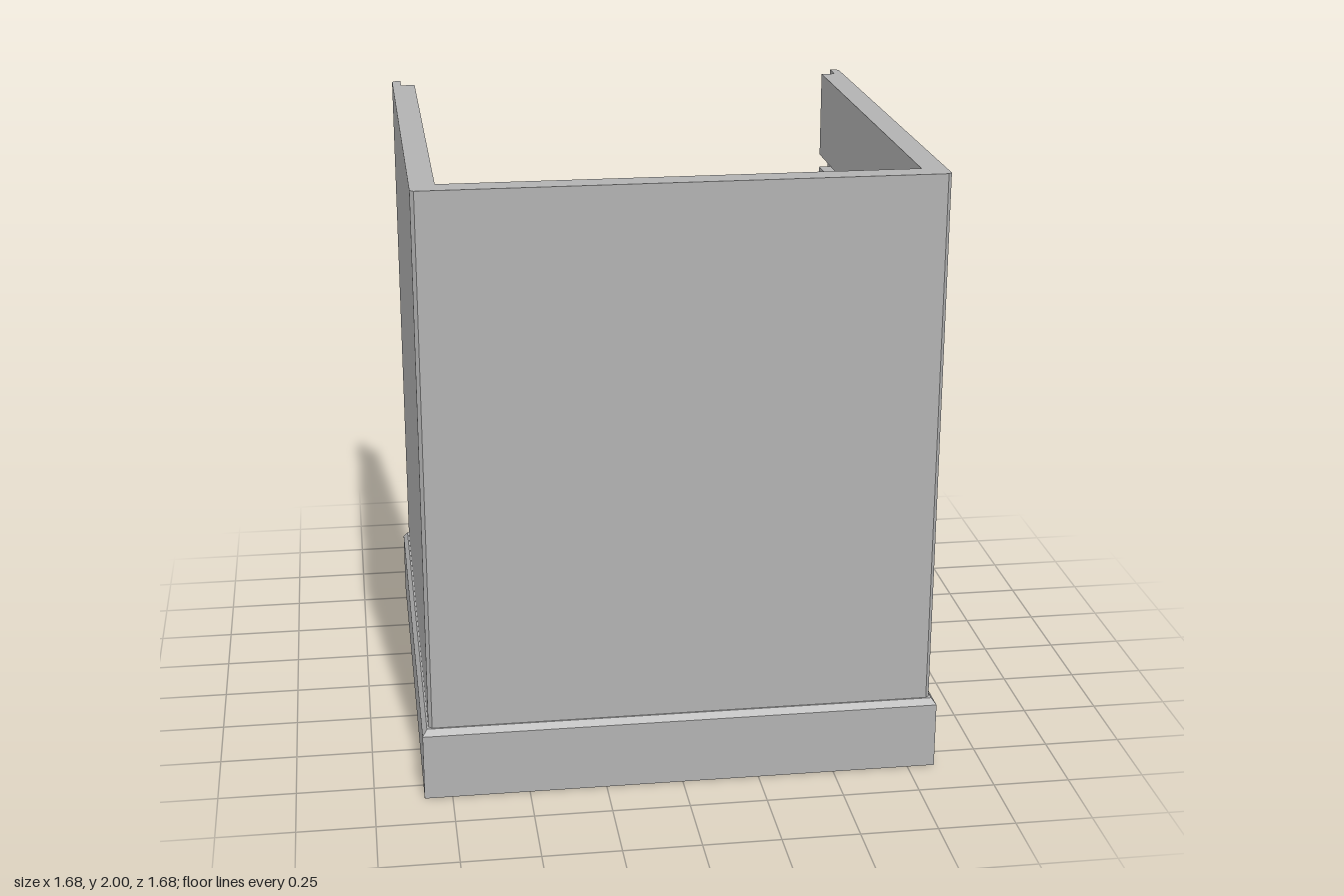
import * as THREE from 'three';

export function createModel() {
  const group = new THREE.Group();
  const grey = new THREE.MeshStandardMaterial({ color: 0xb2b2b2 });

  function add(name, geometry) {
    const mesh = new THREE.Mesh(geometry, grey);
    mesh.name = name;
    group.add(mesh);
    return mesh;
  }

  // Extrudes a plan outline of [x, z] points upward from y0 to y1
  function slab(points, y0, y1, holeRadius) {
    const shape = new THREE.Shape(points.map(([x, z]) => new THREE.Vector2(x, -z)));
    if (holeRadius) {
      const hole = new THREE.Path();
      hole.absarc(0, 0, holeRadius, 0, Math.PI * 2, true);
      shape.holes.push(hole);
    }
    const geo = new THREE.ExtrudeGeometry(shape, { depth: y1 - y0, bevelEnabled: false, curveSegments: 48 });
    geo.rotateX(-Math.PI / 2);
    geo.translate(0, y0, 0);
    return geo;
  }

  const B = 0.84;      // base half width
  const W = 0.82;      // wall outer half width
  const S = 0.79;      // inner side of the thin outer skin
  const I = 0.742;     // inner half width of the chamber
  const shelf = 0.22, floor = 0.24, top = 2;

  // Base plate with the round opening
  add('base', slab([[-B, -B], [-B, B], [B, B], [B, -B]], 0, shelf, 0.54));

  // Floor layer: counterbored opening, open seat for the rear panel, sloped rim
  const T = 0.825;
  const floorGeo = slab([
    [-T, -T], [-T, T], [T, T], [T, -T], [S, -T], [S, -I], [-S, -I], [-S, -T],
  ], shelf, floor, 0.585);
  const p = floorGeo.attributes.position;
  for (let i = 0; i < p.count; i++) {
    if (p.getY(i) > shelf + 0.01) continue;
    if (Math.abs(p.getX(i)) > 0.82) p.setX(i, Math.sign(p.getX(i)) * B);
    if (Math.abs(p.getZ(i)) > 0.82) p.setZ(i, Math.sign(p.getZ(i)) * B);
  }
  floorGeo.computeVertexNormals();
  add('floor', floorGeo);

  // U-shaped wall: thick front, thin side skins, slightly chamfered corners
  const c = 0.012;
  add('walls', slab([
    [-W, -W + c], [-W, W - c], [-W + c, W], [W - c, W], [W, W - c], [W, -W + c],
    [W - c, -W], [S, -W], [S, I], [-S, I], [-S, -W], [-W + c, -W],
  ], floor, top));

  // Horizontal bands lining each side wall; gaps between them are the slots
  const bands = [[floor, 0.28], [0.32, 0.435], [1.7, top]];
  const slots = 15, rib = 0.04;
  const pitch = (1.7 - 0.435 + rib) / slots;
  for (let i = 1; i < slots; i++) {
    const y = 0.435 + i * pitch - rib;
    bands.push([y, y + rib]);
  }
  for (const side of [-1, 1]) {
    for (const [y0, y1] of bands) {
      const band = add(y1 - y0 > 0.05 ? 'sideLining' : 'sideRib',
        new THREE.BoxGeometry(S - I, y1 - y0, 2 * I));
      band.position.set(side * (S + I) / 2, (y0 + y1) / 2, 0);
    }
  }

  return group;
}
